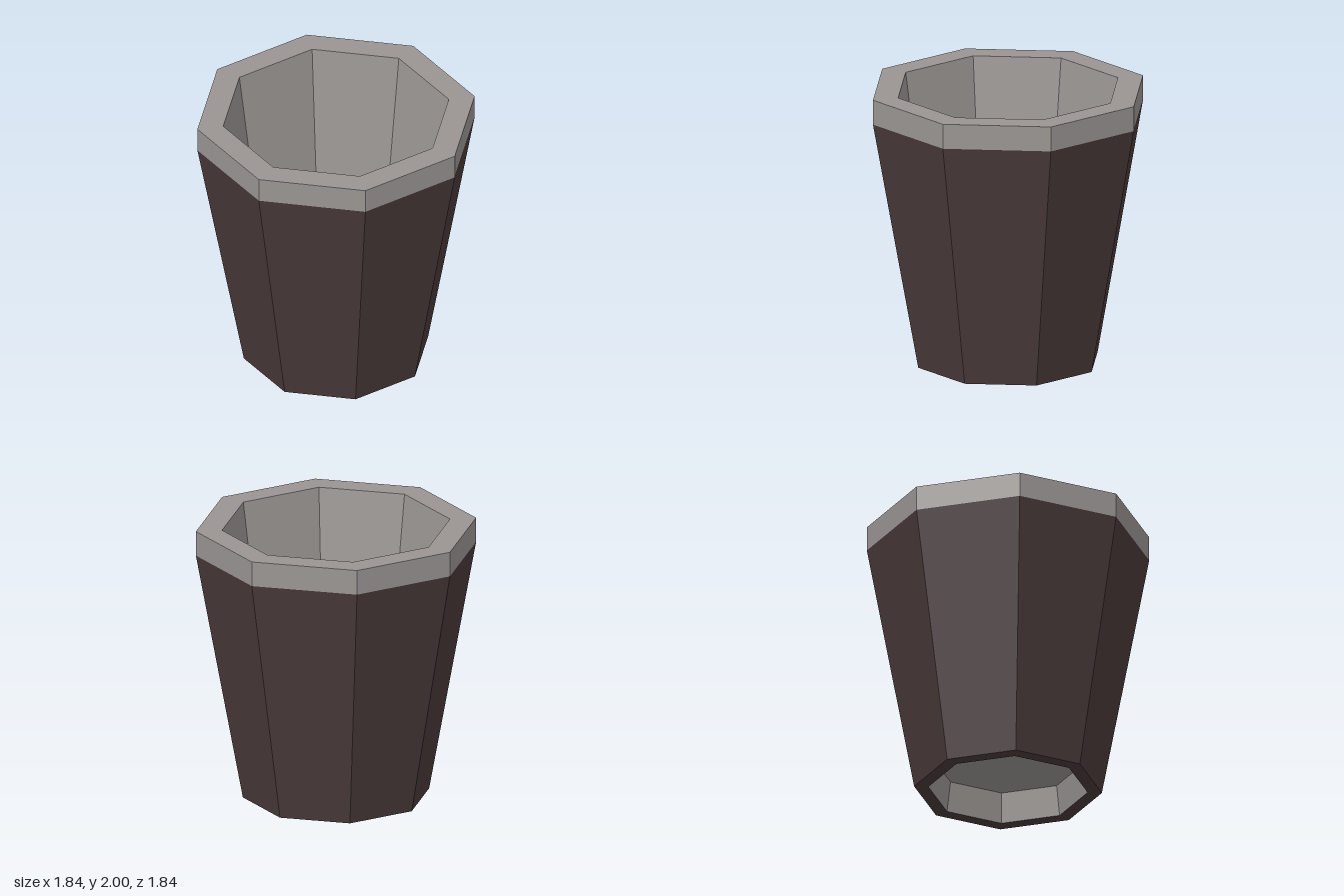
import * as THREE from 'three';

const SIDES = 8;
const toCorner = 1 / Math.cos(Math.PI / SIDES); // flat-side distance to corner radius

// Faceted octagonal ring or cup from a profile of [flat-side distance, height].
function facetedPart(name, profile, material) {
  const points = profile.map(([d, y]) => new THREE.Vector2(d * toCorner, y));
  const geometry = new THREE.LatheGeometry(points, SIDES, Math.PI / SIDES).toNonIndexed();
  geometry.computeVertexNormals();
  const mesh = new THREE.Mesh(geometry, material);
  mesh.name = name;
  return mesh;
}

export function createModel() {
  const brown = new THREE.MeshStandardMaterial({ color: 0x4a3a3a });
  brown.name = 'dark brown';
  const grey = new THREE.MeshStandardMaterial({ color: 0x9a9593 });
  grey.name = 'warm grey';

  const group = new THREE.Group();
  group.name = 'cup';

  // Hollow under the foot
  group.add(facetedPart('baseRecess', [[0, 0.22], [0.49, 0.22], [0.52, 0]], grey));
  // Foot ring and tapered outer wall
  group.add(facetedPart('outerWall', [[0.52, 0], [0.613, 0], [0.922, 1.82]], brown));
  // Upright band and flat lip
  group.add(facetedPart('rim', [[0.922, 1.82], [0.922, 2], [0.75, 2]], grey));
  // Tapered inside and floor
  group.add(facetedPart('innerWall', [[0.75, 2], [0.54, 0.32]], grey));
  group.add(facetedPart('innerFloor', [[0.54, 0.32], [0, 0.32]], grey));

  return group;
}
